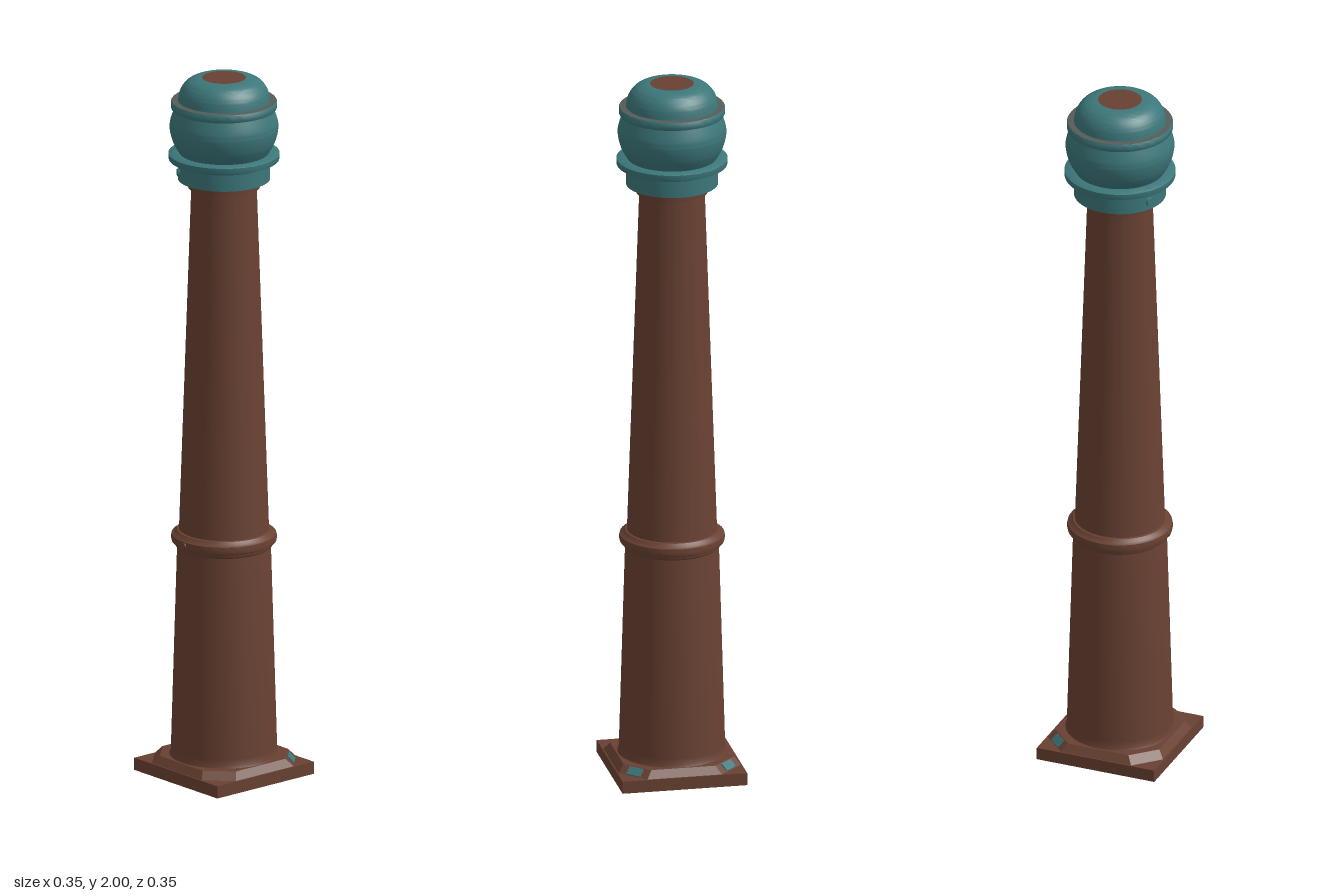
import * as THREE from 'three';
import { toCreasedNormals } from 'three/addons/utils/BufferGeometryUtils.js';
import { ConvexGeometry } from 'three/addons/geometries/ConvexGeometry.js';

export function createModel() {
  const model = new THREE.Group();
  const material = (name, color) => Object.assign(new THREE.MeshStandardMaterial({ color }), { name });
  const rust = material('rust brown', 0x694132);
  const teal = material('teal paint', 0x3c777a);
  const worn = material('worn grey', 0x565c58);

  function add(name, geometry, mat) {
    const mesh = new THREE.Mesh(geometry, mat);
    mesh.name = name;
    model.add(mesh);
    return mesh;
  }

  // Turned part from [radius, height] pairs listed bottom to top
  function turned(name, points, mat) {
    const profile = points.map(([r, y]) => new THREE.Vector2(r, y));
    return add(name, toCreasedNormals(new THREE.LatheGeometry(profile, 56), 0.6), mat);
  }

  // Smooth run of profile points through a few controls
  function curve(points, count) {
    const spline = new THREE.SplineCurve(points.map(([r, y]) => new THREE.Vector2(r, y)));
    return spline.getPoints(count).map((p) => [p.x, p.y]);
  }

  // Square foot
  add('footPlate', new THREE.BoxGeometry(0.35, 0.035, 0.35), rust).position.y = 0.0175;

  // Sloped plinth with cut corners
  const octagon = (a, b, y) => [[a, b], [b, a], [-b, a], [-a, b], [-a, -b], [-b, -a], [b, -a], [a, -b]]
    .map(([x, z]) => new THREE.Vector3(x, y, z));
  add('plinth', new ConvexGeometry([...octagon(0.172, 0.105, 0.034), ...octagon(0.155, 0.09, 0.056)]), rust);

  // Paint left on the rear plinth corners
  for (const side of [-1, 1]) {
    const patch = add('paintPatch', new THREE.BoxGeometry(0.045, 0.004, 0.025), teal);
    patch.position.set(side * 0.131, 0.046, -0.131);
    patch.rotation.order = 'YXZ';
    patch.rotation.set(-0.78, -side * Math.PI / 4, 0);
  }

  // Tapered shaft, middle ring and neck
  turned('shaft', [[0.154, 0.05], [0.147, 0.062], [0.146, 0.08], [0.129, 0.66], [0.124, 0.7], [0.09, 1.69]], rust);
  turned('middleRing', [[0.125, 0.65], [0.134, 0.657], [0.136, 0.666], [0.144, 0.67], [0.146, 0.68],
    [0.144, 0.69], [0.136, 0.694], [0.13, 0.702], [0.12, 0.704]], rust);
  turned('neckRing', [[0.088, 1.684], [0.099, 1.686], [0.099, 1.712]], rust);

  // Teal cup and wide flange
  turned('cup', [[0.085, 1.71], [0.127, 1.71], [0.127, 1.757], [0.132, 1.764], [0.132, 1.772]], teal);
  turned('flange', [[0.12, 1.767], [0.152, 1.767], [0.153, 1.77], [0.153, 1.784], [0.15, 1.786], [0.12, 1.786]], teal);

  // Rounded globe, its band and the dome
  turned('globe', curve([[0.122, 1.784], [0.14, 1.816], [0.149, 1.85], [0.148, 1.876], [0.134, 1.918]], 20), teal);
  turned('band', [[0.125, 1.912], [0.144, 1.912], [0.146, 1.916], [0.146, 1.932], [0.144, 1.935]], teal);
  turned('bandTop', [[0.144, 1.935], [0.122, 1.936]], worn);
  turned('dome', curve([[0.127, 1.935], [0.121, 1.962], [0.105, 1.985], [0.083, 1.997], [0.06, 2]], 20), teal);
  turned('crown', [[0.06, 2], [0, 2]], rust);

  // Small screw heads on the cup and middle ring
  for (const [x, y, z, r, mat] of [[-0.06, 1.735, 0.113, 0.013, teal], [0, 0.68, 0.144, 0.009, rust]]) {
    const screw = add('screwHead', new THREE.CylinderGeometry(r * 0.8, r, 0.008, 12), mat);
    screw.position.set(x, y, z);
    screw.rotation.order = 'YXZ';
    screw.rotation.set(Math.PI / 2, Math.atan2(x, z), 0);
  }
  return model;
}
